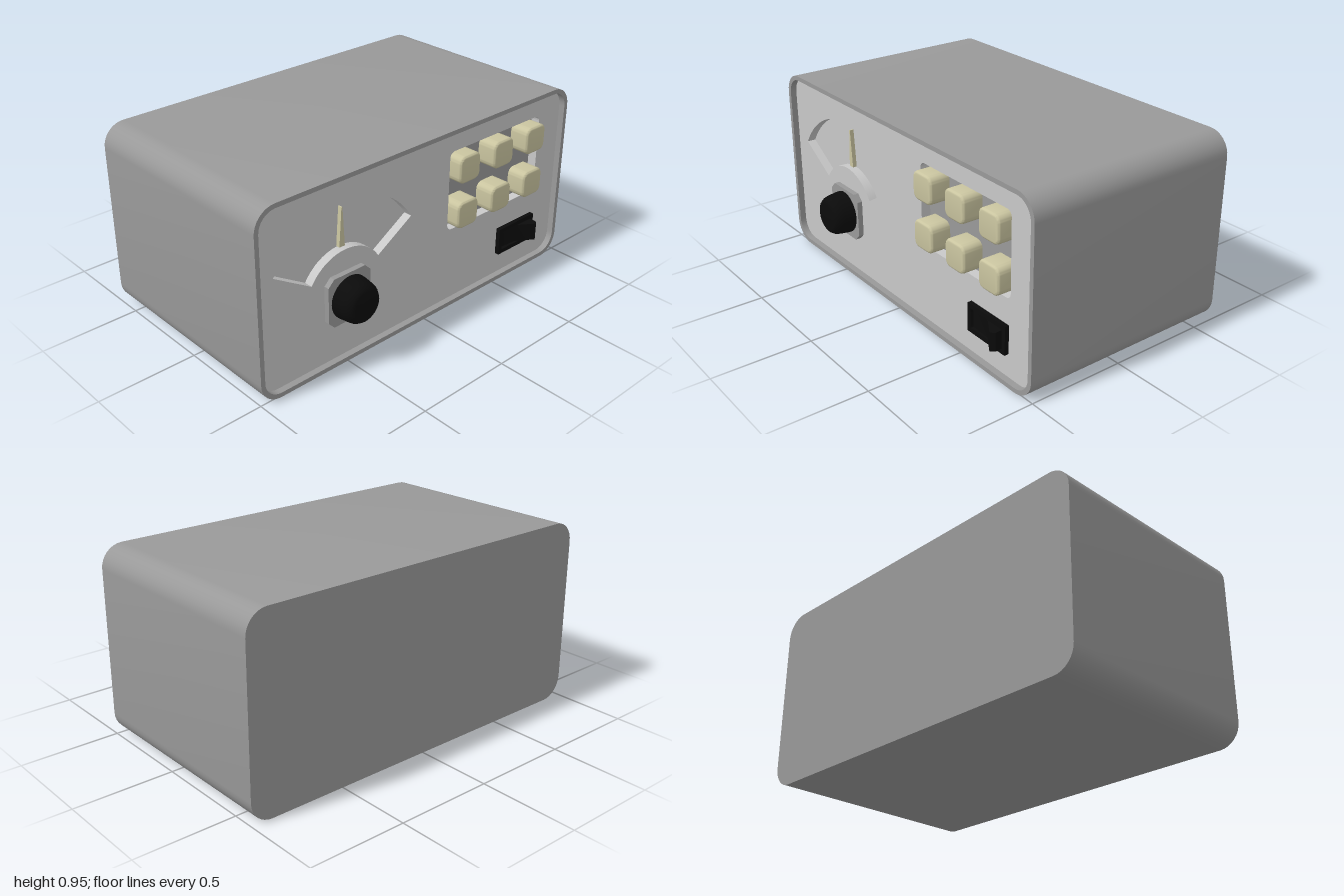
import * as THREE from 'three';
import { toCreasedNormals } from 'three/addons/utils/BufferGeometryUtils.js';

const material = (name, color) => Object.assign(new THREE.MeshStandardMaterial({ color }), { name });

// Rounded rectangle, centred on (cx, cy)
function roundedRect(cx, cy, w, h, r, Type = THREE.Shape) {
  const s = new Type();
  const x = w / 2 - r, y = h / 2 - r;
  s.absarc(cx + x, cy + y, r, 0, Math.PI / 2);
  s.absarc(cx - x, cy + y, r, Math.PI / 2, Math.PI);
  s.absarc(cx - x, cy - y, r, Math.PI, Math.PI * 1.5);
  s.absarc(cx + x, cy - y, r, Math.PI * 1.5, Math.PI * 2);
  s.closePath();
  return s;
}

// Ring sector of the dial, around the knob axis
function dialSector(cx, cy, inner, outer, Type = THREE.Shape) {
  const s = new Type(), a = 0.553, b = Math.PI - a;
  s.absarc(cx, cy, outer, a, b, false);
  s.absarc(cx, cy, inner, b, a, true);
  s.closePath();
  return s;
}

export function createModel() {
  const gray = material('case gray', 0x999999);
  const light = material('panel light gray', 0xc8c8c8);
  const cream = material('cream', 0xcac5a0);
  const black = material('black', 0x0b0b0b);

  const model = new THREE.Group();
  model.name = 'controlBox';
  // Built facing local +z, then turned so the panel faces +x
  const box = new THREE.Group();
  box.name = 'box';
  box.rotation.y = Math.PI / 2;
  model.add(box);

  const add = (name, geometry, mat, parent = box) => {
    const mesh = new THREE.Mesh(geometry, mat);
    mesh.name = name;
    parent.add(mesh);
    return mesh;
  };
  const slab = (shape, from, to, segments = 4, bevel = 0) => {
    const g = new THREE.ExtrudeGeometry(shape, {
      depth: to - from - bevel, curveSegments: segments, bevelEnabled: bevel > 0,
      bevelSize: bevel, bevelThickness: bevel, bevelOffset: -bevel, bevelSegments: 3,
    });
    g.translate(0, 0, from);
    return toCreasedNormals(g, 0.6);
  };

  const midY = 0.4775, floor = 0.43, face = 0.478, front = 0.51, back = -0.615;
  const dial = [-0.485, 0.34];

  // Case: outer shell with a rim, and a core filling it behind the panel
  const outer = roundedRect(0, midY, 2, 0.955, 0.11);
  outer.holes.push(roundedRect(0, midY, 1.955, 0.91, 0.09, THREE.Path));
  add('caseShell', slab(outer, back, front), gray);
  add('caseCore', slab(roundedRect(0, midY, 1.955, 0.91, 0.09), back, floor), gray);

  // Panel with the dial window and the button pocket cut out
  const panel = roundedRect(0, midY, 1.955, 0.91, 0.09);
  panel.holes.push(dialSector(...dial, 0.232, 0.475, THREE.Path));
  panel.holes.push(roundedRect(0.495, 0.62, 0.65, 0.415, 0.03, THREE.Path));
  add('frontPanel', slab(panel, floor, face, 16), light);
  add('dialFloor', slab(dialSector(...dial, 0.232, 0.475), floor, floor + 0.004, 16), light);

  // Needle
  const needle = new THREE.Shape([
    [-0.016, 0.575], [0.016, 0.575], [0.003, 0.77], [-0.003, 0.77],
  ].map(([x, y]) => new THREE.Vector2(dial[0] + x, y)));
  add('needle', slab(needle, floor, floor + 0.025), cream);

  // Chamfered plate under the knob
  const h = 0.125, c = 0.092;
  const octagon = [[h, -c], [h, c], [c, h], [-c, h], [-h, c], [-h, -c], [-c, -h], [c, -h]];
  const plate = new THREE.Shape(octagon.map(([x, y]) => new THREE.Vector2(dial[0] + x, dial[1] + y)));
  add('knobPlate', slab(plate, floor, 0.505), gray);

  // Knob
  const profile = [[0.108, 0], [0.108, 0.012], [0.102, 0.06], [0.097, 0.082], [0.085, 0.1], [0.068, 0.109], [0, 0.11]];
  const knob = new THREE.LatheGeometry(profile.map(([x, y]) => new THREE.Vector2(x, y)), 32);
  knob.rotateX(Math.PI / 2);
  add('knob', knob, black).position.set(...dial, 0.505);

  // Push buttons, two rows of three
  const buttons = new THREE.Group();
  buttons.name = 'buttons';
  box.add(buttons);
  const button = slab(roundedRect(0, 0, 0.14, 0.14, 0.035), 0, 0.107, 4, 0.012);
  for (const y of [0.74, 0.5])
    for (const x of [0.255, 0.495, 0.735])
      add('button', button, cream, buttons).position.set(x, y, floor - 0.004);

  // Rocker switch in a frame
  const frame = roundedRect(0.678, 0.212, 0.265, 0.145, 0.003);
  frame.holes.push(roundedRect(0.678, 0.212, 0.22, 0.1, 0.003, THREE.Path));
  add('switchFrame', slab(frame, floor, 0.5), black);
  const rocker = new THREE.Shape([
    [0.57, 0.44], [0.786, 0.44], [0.79, 0.535], [0.772, 0.553], [0.68, 0.492], [0.57, 0.485],
  ].map(([x, z]) => new THREE.Vector2(x, -z)));
  const rockerGeometry = slab(rocker, 0.165, 0.259);
  rockerGeometry.rotateX(-Math.PI / 2);
  rockerGeometry.scale(1, 1, 1);
  add('rocker', rockerGeometry, black);

  return model;
}
